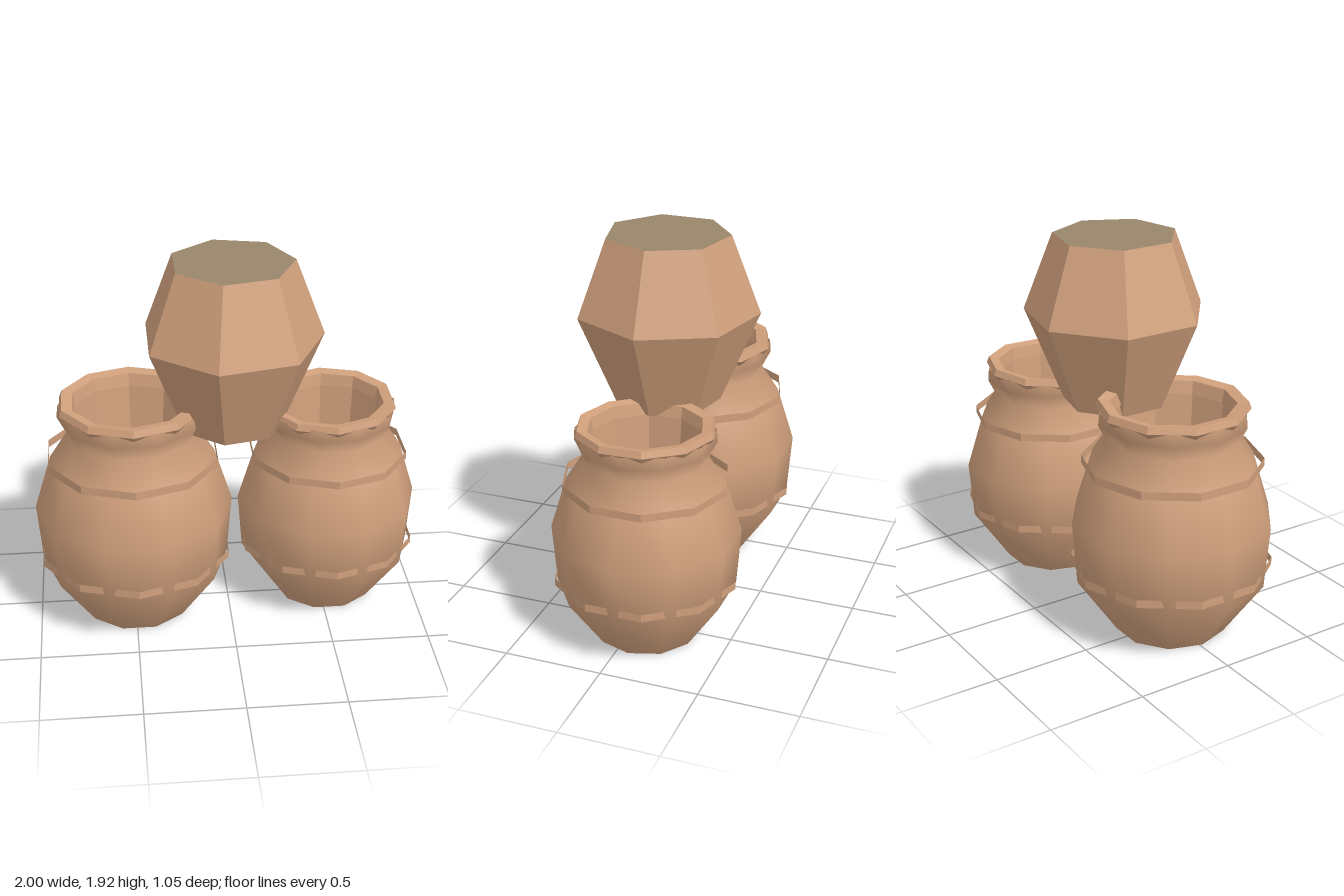
import * as THREE from 'three';

const clay = new THREE.MeshStandardMaterial({ color: 0xd0a07c, side: THREE.DoubleSide });
clay.name = 'clay';
const filling = new THREE.MeshStandardMaterial({ color: 0x9a866b });
filling.name = 'filling';

const SIDES = 10;
const points = (list) => list.map(([r, y]) => new THREE.Vector2(r, y));

// Hard-edged copy of a geometry
function faceted(geometry) {
  const g = geometry.toNonIndexed();
  g.computeVertexNormals();
  return g;
}

function addMesh(parent, name, geometry, material) {
  const mesh = new THREE.Mesh(geometry, material);
  mesh.name = name;
  parent.add(mesh);
  return mesh;
}

function disc(radius, sides, start, up) {
  return new THREE.CircleGeometry(radius, sides, start).rotateX(up ? -Math.PI / 2 : Math.PI / 2);
}

function makeJar(name, rimTilt) {
  const jar = new THREE.Group();
  jar.name = name;

  // Rounded body with a flared neck, corners on the x axis
  const profile = [[0.283, 0], [0.485, 0.29], [0.51, 0.61], [0.42, 0.9],
    [0.332, 1.035], [0.375, 1.12], [0.37, 1.185]];
  addMesh(jar, 'body', new THREE.LatheGeometry(points(profile), SIDES, Math.PI / 2), clay);
  addMesh(jar, 'base', disc(0.283, SIDES, 0, false), clay);

  // Lip and inner wall
  const inner = [[0.37, 1.185], [0.31, 1.195], [0.275, 0.8]];
  addMesh(jar, 'innerWall', faceted(new THREE.LatheGeometry(points(inner), SIDES)), clay);
  addMesh(jar, 'innerFloor', disc(0.28, SIDES, Math.PI / 2, true), filling).position.y = 0.8;

  // Rough rim ring, turned half a side against the body
  const ring = [[0.355, -0.03], [0.378, 0], [0.365, 0.035], [0.31, 0.025], [0.295, -0.04]];
  const rim = addMesh(jar, 'rim', faceted(new THREE.LatheGeometry(points(ring), SIDES)), clay);
  rim.position.y = 1.18;
  rim.rotation.set(rimTilt, 0, rimTilt);

  // Thin open bands around the body, corners on the z axis
  for (const [bandName, radius, y] of [['upperBand', 0.45, 0.9], ['lowerBand', 0.505, 0.36]]) {
    const band = new THREE.CylinderGeometry(radius, radius, 0.042, SIDES, 1, true);
    addMesh(jar, bandName, faceted(band), clay).position.y = y;
  }
  return jar;
}

function makePot() {
  const pot = new THREE.Group();
  pot.name = 'sevenSidedPot';
  // Two tapered halves meeting at the widest line
  const profile = [[0.27, 1.06], [0.465, 1.53], [0.315, 1.925]];
  addMesh(pot, 'potSides', faceted(new THREE.LatheGeometry(points(profile), 7, Math.PI / 2)), clay);
  addMesh(pot, 'potBase', disc(0.27, 7, 0, false), clay).position.y = 1.06;
  addMesh(pot, 'potTop', disc(0.315, 7, 0, true), filling).position.y = 1.925;
  return pot;
}

export function createModel() {
  const model = new THREE.Group();
  model.name = 'stackedJars';

  const large = makeJar('largeJar', 0);
  large.position.set(-0.49, 0, 0.015);

  const small = makeJar('smallJar', 0.02);
  small.position.set(0.53, 0, -0.062);
  small.scale.set(0.922, 0.934, 0.922);

  const pot = makePot();
  pot.position.set(0.02, 0, 0.015);

  model.add(large, small, pot);
  return model;
}
